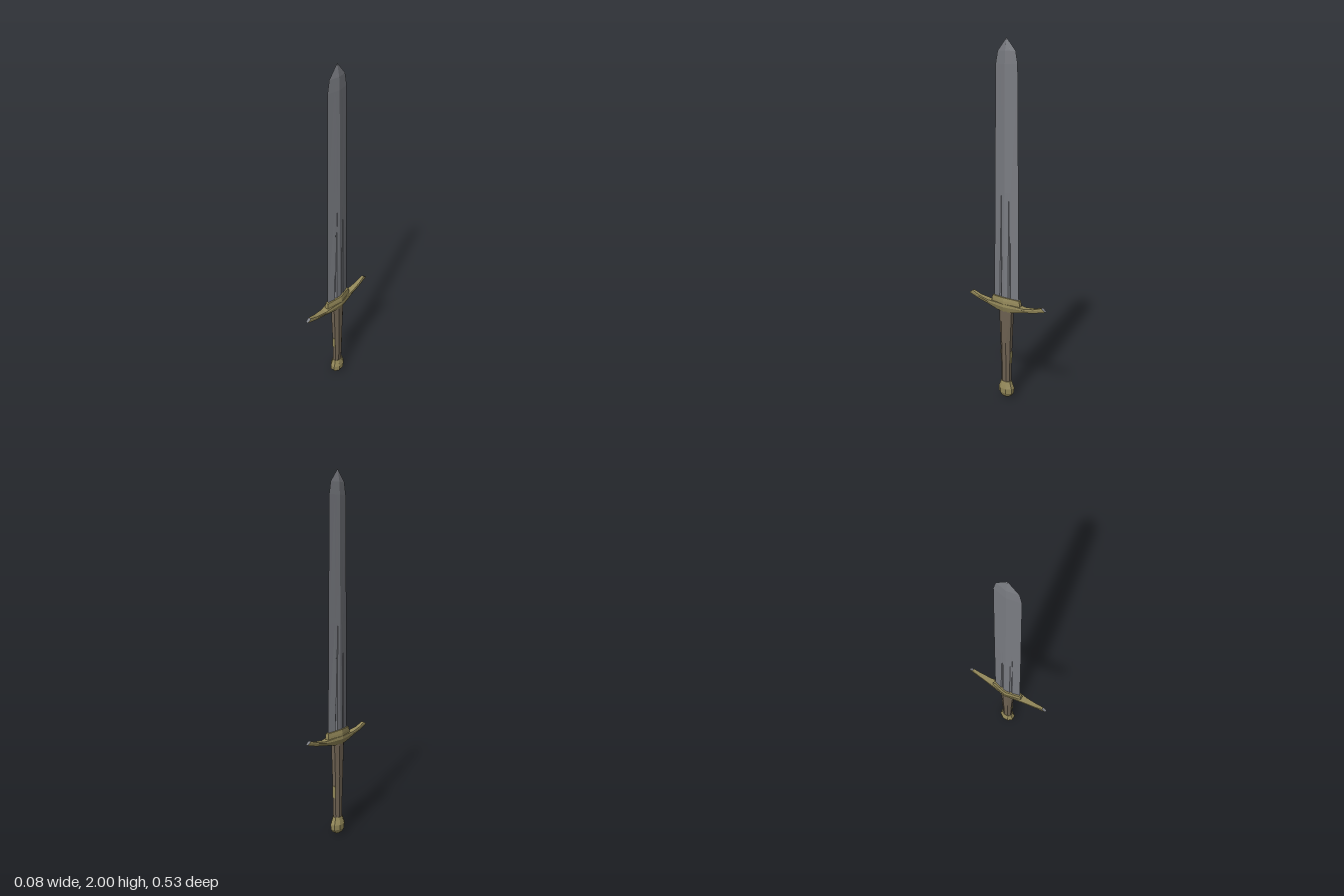
import * as THREE from 'three';

const mat = (name, color) => {
  const m = new THREE.MeshStandardMaterial({ color, flatShading: true });
  m.name = name;
  return m;
};

// Skins a list of equal-length rings; caps may be left off either end.
function loft(rings, capStart = true, capEnd = true) {
  const pos = [];
  const tri = (...pts) => pts.forEach((p) => pos.push(...p));
  const n = rings[0].length;
  for (let i = 0; i < rings.length - 1; i++) {
    for (let j = 0; j < n; j++) {
      const k = (j + 1) % n;
      const [a, b, c, d] = [rings[i][j], rings[i][k], rings[i + 1][k], rings[i + 1][j]];
      tri(a, b, c);
      tri(a, c, d);
    }
  }
  const first = rings[0], last = rings[rings.length - 1];
  for (let j = 1; j < n - 1; j++) {
    if (capStart) tri(first[0], first[j + 1], first[j]);
    if (capEnd) tri(last[0], last[j], last[j + 1]);
  }
  const g = new THREE.BufferGeometry();
  g.setAttribute('position', new THREE.Float32BufferAttribute(pos, 3));
  g.computeVertexNormals();
  return g;
}

// Elliptical ring with eight sides, flat to the axes.
const oval = (y, rx, rz) => Array.from({ length: 8 }, (_, i) => {
  const a = ((i + 0.5) / 8) * Math.PI * 2, s = 1 / Math.cos(Math.PI / 8);
  return [Math.cos(a) * rx * s, y, -Math.sin(a) * rz * s];
});

// Blade ring from a quarter outline [x, z] running from centre to edge.
function bladeRing(y, q) {
  const half = [...q.map(([x, z]) => [x, -z]), ...q.slice(0, -1).reverse().map(([x, z]) => [-x, -z])];
  const other = half.slice(1, -1).map(([x, z]) => [-x, -z]);
  return [...half, ...other].map(([x, z]) => [x, y, z]);
}

// Diamond outline with the shallow shoulder points lying on its faces.
const diamond = (x, w) => [0, 0.22, 0.32, 0.44, 1].map((t) => [x * (1 - t), w * t]);

export function createModel() {
  const steel = mat('steel', 0x7a7c82);
  const brass = mat('brass', 0x938859);
  const leather = mat('leather', 0x6e6252);
  const group = new THREE.Group();
  group.name = 'sword';
  const add = (name, geo, material) => {
    const m = new THREE.Mesh(geo, material);
    m.name = name;
    group.add(m);
    return m;
  };

  // Blade with two narrow channels on each face, fading out halfway up
  add('blade', loft([
    bladeRing(0.57, [[0.02, 0], [0.017, 0.022], [0.008, 0.03], [0.014, 0.038], [0, 0.085]]),
    bladeRing(1.2, diamond(0.019, 0.079)),
    bladeRing(1.87, diamond(0.015, 0.071)),
    bladeRing(1.935, diamond(0.012, 0.058)),
    bladeRing(2.0, diamond(0.0005, 0.001)),
  ]), steel);

  // Collar around the blade root
  const collarRing = (x, xe, z, y, ye) => [
    [x, y, 0], [xe, ye, -z], [-xe, ye, -z], [-x, y, 0], [-xe, ye, z], [xe, ye, z],
  ];
  add('collar', loft([
    collarRing(0.036, 0.012, 0.097, 0.56, 0.56),
    collarRing(0.034, 0.01, 0.096, 0.59, 0.585),
    collarRing(0.03, 0.008, 0.093, 0.61, 0.603),
  ]), brass);

  // Crossguard: [zTop, topHalfWidth, yTop, midHalfWidth, yMid, bottomHalfWidth, yBottom, zBottom]
  const stations = [
    [0, 0.036, 0.574, 0.038, 0.558, 0.028, 0.527, 0],
    [0.05, 0.028, 0.573, 0.03, 0.557, 0.022, 0.53, 0.05],
    [0.12, 0.018, 0.568, 0.02, 0.56, 0.014, 0.545, 0.125],
    [0.19, 0.012, 0.579, 0.0135, 0.573, 0.01, 0.56, 0.2],
    [0.24, 0.008, 0.597, 0.009, 0.59, 0.007, 0.579, 0.264],
  ];
  const guardRing = ([zt, wt, yt, wm, ym, wb, yb, zb], s) => {
    const zm = zt + (zb - zt) * ((yt - ym) / (yt - yb));
    return [[wm, ym, s * zm], [wt, yt, s * zt], [-wt, yt, s * zt],
      [-wm, ym, s * zm], [-wb, yb, s * zb], [wb, yb, s * zb]];
  };
  const back = stations.slice(1).reverse().map((s) => guardRing(s, -1));
  const front = stations.map((s) => guardRing(s, 1));
  add('crossguard', loft([...back, ...front], false, false), brass);

  // Bare steel faces at the ends of the guard
  const tip = front[front.length - 1];
  add('frontGuardTip', loft([tip, tip], false, true), steel);
  add('backGuardTip', loft([back[0], back[0]], true, false), steel);

  // Grip, swelling toward the guard
  add('grip', loft([
    oval(0.08, 0.021, 0.028),
    oval(0.2, 0.023, 0.03),
    oval(0.34, 0.026, 0.034),
    oval(0.54, 0.028, 0.043),
  ]), leather);

  // Small brass inlays on the narrow sides of the grip
  for (const s of [1, -1]) {
    const inlay = add(s > 0 ? 'frontInlay' : 'backInlay', new THREE.BoxGeometry(0.02, 0.07, 0.006), brass);
    inlay.position.set(0, 0.25, s * 0.0305);
    inlay.rotation.x = s * 0.028;
  }

  // Pommel
  add('pommel', loft([
    oval(0, 0.012, 0.015),
    oval(0.012, 0.024, 0.034),
    oval(0.03, 0.032, 0.045),
    oval(0.058, 0.033, 0.046),
    oval(0.08, 0.028, 0.037),
    oval(0.1, 0.023, 0.031),
  ]), brass);

  return group;
}
